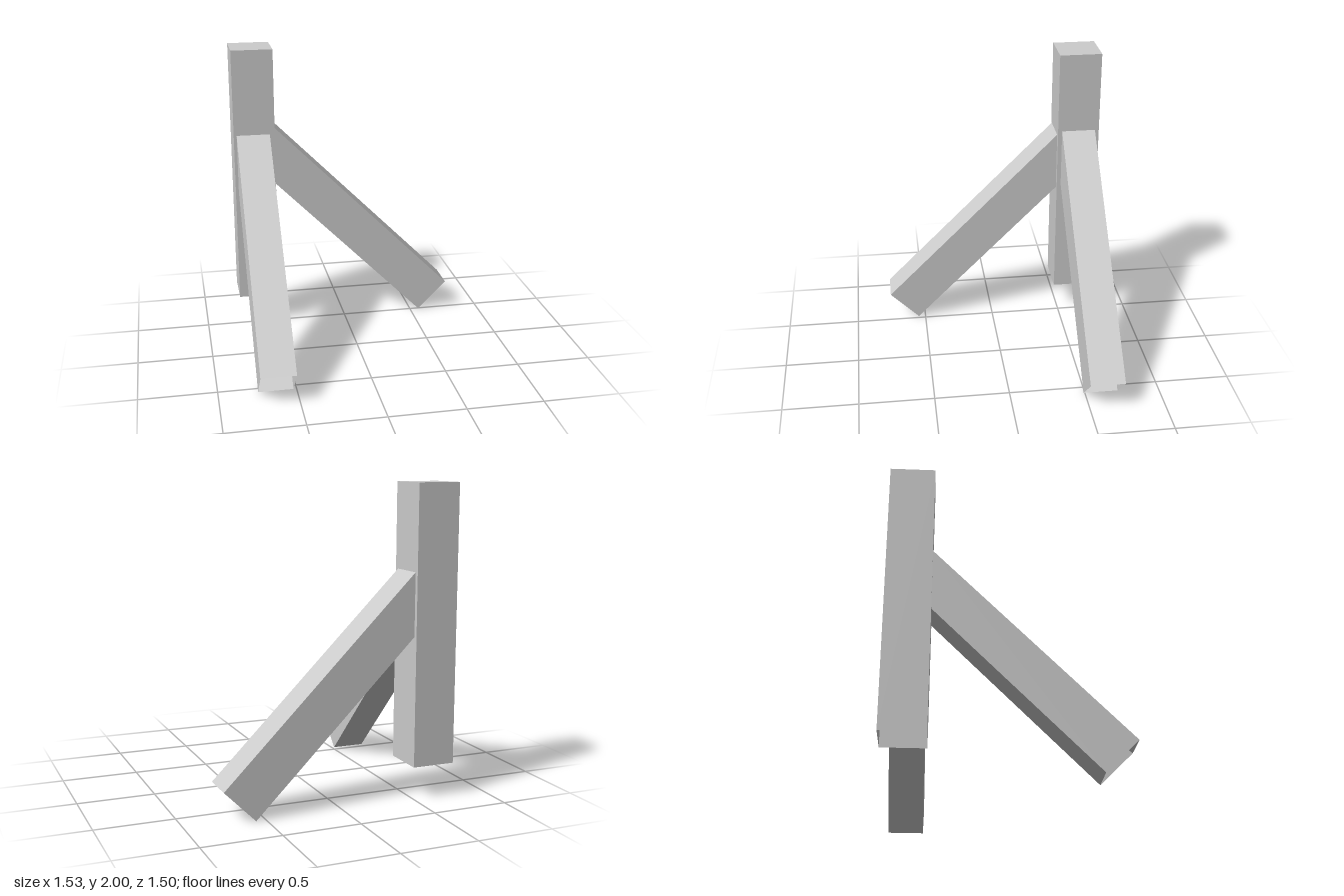
import * as THREE from 'three';

const material = new THREE.MeshStandardMaterial({
  color: 0xcccccc, flatShading: true, side: THREE.DoubleSide,
});

// Thin four-sided sleeve from ring a to ring b (counterclockwise seen from b),
// open at both ends unless b is capped.
function sleeve(name, a, b, capped = false) {
  const positions = [];
  const quad = (p, q, r, s) => positions.push(...p, ...q, ...r, ...p, ...r, ...s);
  for (let i = 0; i < 4; i++) {
    const j = (i + 1) % 4;
    quad(a[i], a[j], b[j], b[i]);
  }
  if (capped) quad(...b);
  const geometry = new THREE.BufferGeometry();
  geometry.setAttribute('position', new THREE.Float32BufferAttribute(positions, 3));
  geometry.computeVertexNormals();
  const mesh = new THREE.Mesh(geometry, material);
  mesh.name = name;
  return mesh;
}

export function createModel() {
  const group = new THREE.Group();
  group.name = 'bracedPost';

  // Upright post, closed on top and open below
  const [x0, x1, z0, z1] = [-0.767, -0.486, -0.75, -0.464];
  const level = (y) => [[x1, y, z1], [x1, y, z0], [x0, y, z0], [x0, y, z1]];
  group.add(sleeve('post', level(0.218), level(2), true));

  // Side brace: mitred against the post, square cut and open at the foot
  const acrossZ = (top, bottom) => [
    [...top, -0.723], [...top, -0.492], [...bottom, -0.492], [...bottom, -0.723],
  ];
  group.add(sleeve('sideBrace',
    acrossZ([x1, 1.453], [x1, 1.05]),
    acrossZ([0.765, 0.202], [0.563, 0])));

  // Front brace: the same idea, running forward
  const acrossX = ([zt, yt], [zb, yb]) => [
    [-0.52, yt, zt], [-0.747, yt, zt], [-0.747, yb, zb], [-0.52, yb, zb],
  ];
  group.add(sleeve('frontBrace',
    acrossX([z1, 1.415], [z1, 1.013]),
    acrossX([0.75, 0.201], [0.549, 0])));

  return group;
}
